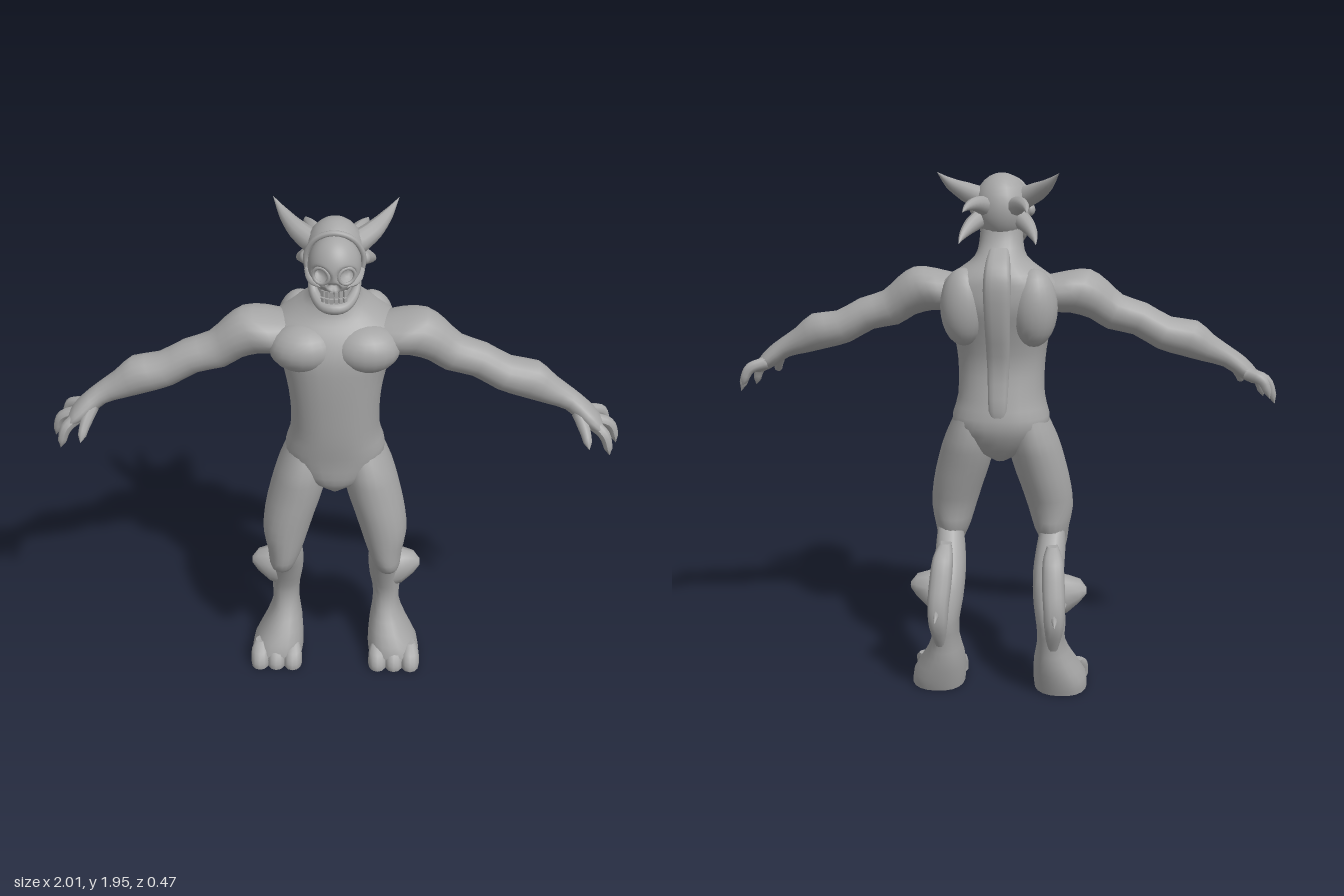
import * as THREE from 'three';

const V = (x, y, z) => new THREE.Vector3(x, y, z);
const skin = new THREE.MeshStandardMaterial({ color: 0xa6a6a6 });
skin.name = 'plain grey';

// Smooth body through elliptical sections [x, y, z, radiusU, radiusV], capped at both ends
function loft(sections, u, v, sub = 2, sides = 20, power = 1) {
  const pos = [], idx = [], rows = (sections.length - 1) * sub;
  const at = (t) => {
    const i = Math.min(Math.floor(t), sections.length - 2), f = t - i;
    const s = (k) => sections[Math.max(0, Math.min(sections.length - 1, k))];
    return sections[0].map((_, c) => {
      const [a, b, d, e] = [s(i - 1)[c], s(i)[c], s(i + 1)[c], s(i + 2)[c]];
      return b + 0.5 * f * (d - a + f * (2 * a - 5 * b + 4 * d - e + f * (3 * (b - d) + e - a)));
    });
  };
  const bend = (n) => Math.sign(n) * Math.abs(n) ** power;
  for (let r = 0; r <= rows; r++) {
    const [x, y, z, ru, rv] = at(r / sub);
    for (let j = 0; j < sides; j++) {
      const a = (j / sides) * Math.PI * 2;
      const p = V(x, y, z).addScaledVector(u, ru * bend(Math.cos(a))).addScaledVector(v, rv * bend(Math.sin(a)));
      pos.push(p.x, p.y, p.z);
    }
  }
  const first = sections[0], last = sections.at(-1);
  const along = V(last[0] - first[0], last[1] - first[1], last[2] - first[2]);
  const flip = u.clone().cross(v).dot(along) < 0;
  const tri = (a, b, c) => (flip ? idx.push(a, c, b) : idx.push(a, b, c));
  for (let r = 0; r < rows; r++) for (let j = 0; j < sides; j++) {
    const a = r * sides + j, b = r * sides + (j + 1) % sides;
    tri(a, b, a + sides);
    tri(b, b + sides, a + sides);
  }
  // Caps keep their own vertices so the ends stay crisp
  for (const [row, s] of [[0, first], [rows, last]]) {
    const base = pos.length / 3;
    pos.push(s[0], s[1], s[2]);
    for (let j = 0; j < sides; j++) pos.push(...pos.slice((row * sides + j) * 3, (row * sides + j) * 3 + 3));
    for (let j = 0; j < sides; j++) {
      const a = base + 1 + j, b = base + 1 + (j + 1) % sides;
      row ? tri(base, a, b) : tri(base, b, a);
    }
  }
  const g = new THREE.BufferGeometry();
  g.setAttribute('position', new THREE.Float32BufferAttribute(pos, 3));
  g.setIndex(idx);
  g.computeVertexNormals();
  return g;
}

// Curved tube whose radius follows a short list
function taper(points, radii, n = 10, sides = 10) {
  const curve = new THREE.CatmullRomCurve3(points.map((p) => V(...p)));
  const g = new THREE.TubeGeometry(curve, n, 1, sides), p = g.attributes.position, q = V();
  for (let i = 0; i <= n; i++) {
    const c = curve.getPointAt(i / n), t = (i / n) * (radii.length - 1);
    const k = Math.min(Math.floor(t), radii.length - 2);
    const r = THREE.MathUtils.lerp(radii[k], radii[k + 1], t - k);
    for (let j = 0; j <= sides; j++) {
      const m = i * (sides + 1) + j;
      q.fromBufferAttribute(p, m).sub(c).multiplyScalar(r).add(c);
      p.setXYZ(m, q.x, q.y, q.z);
    }
  }
  g.computeVertexNormals();
  return g;
}

const blob = (x, y, z, rx, ry, rz) => new THREE.SphereGeometry(1, 20, 14).scale(rx, ry, rz).translate(x, y, z);

export function createModel() {
  const model = new THREE.Group();
  const X = V(1, 0, 0), Z = V(0, 0, 1);
  const add = (name, g) => {
    const m = new THREE.Mesh(g, skin);
    m.name = name;
    model.add(m);
  };
  const pair = (name, g) => {
    add(name + 'Left', g);
    const r = g.clone().scale(-1, 1, 1), ix = r.index.array;
    for (let i = 0; i < ix.length; i += 3) [ix[i], ix[i + 1]] = [ix[i + 1], ix[i]];
    add(name + 'Right', r);
  };

  // Trunk from crotch to neck
  add('torso', loft([
    [0, 0.89, 0.05, 0.03, 0.08], [0, 0.94, 0.045, 0.12, 0.12], [0, 1.03, 0.03, 0.18, 0.145],
    [0, 1.13, 0.045, 0.16, 0.145], [0, 1.26, 0.06, 0.16, 0.14], [0, 1.38, 0.05, 0.18, 0.155],
    [0, 1.47, 0.035, 0.215, 0.165], [0, 1.54, 0.02, 0.22, 0.15], [0, 1.59, 0.005, 0.16, 0.125],
    [0, 1.64, 0.015, 0.095, 0.1], [0, 1.7, 0.04, 0.078, 0.08], [0, 1.78, 0.05, 0.075, 0.07],
  ], X, Z, 3, 28, 0.88));
  pair('chestMuscle', blob(0.105, 1.485, 0.12, 0.12, 0.085, 0.095));
  pair('shoulderBlade', blob(0.125, 1.47, -0.06, 0.085, 0.14, 0.08));

  // Raised band down the back
  add('spineBand', loft([
    [0, 1.68, -0.025, 0.035, 0.03], [0, 1.62, -0.1, 0.045, 0.03], [0, 1.54, -0.125, 0.05, 0.03],
    [0, 1.4, -0.108, 0.045, 0.03], [0, 1.25, -0.075, 0.04, 0.025], [0, 1.1, -0.09, 0.035, 0.025],
    [0, 1.02, -0.08, 0.02, 0.015],
  ], X, Z, 3, 14, 0.7));

  // Arms from shoulder to palm
  pair('arm', loft([
    [0.12, 1.52, 0.04, 0.05, 0.08], [0.21, 1.515, 0.045, 0.08, 0.11], [0.285, 1.515, 0.05, 0.086, 0.1],
    [0.35, 1.485, 0.055, 0.075, 0.085], [0.41, 1.44, 0.06, 0.068, 0.07], [0.5, 1.415, 0.065, 0.062, 0.068],
    [0.59, 1.365, 0.068, 0.063, 0.07], [0.68, 1.345, 0.075, 0.07, 0.07], [0.75, 1.308, 0.082, 0.052, 0.056],
    [0.82, 1.275, 0.092, 0.038, 0.046], [0.875, 1.235, 0.11, 0.036, 0.062], [0.92, 1.2, 0.12, 0.025, 0.065],
    [0.935, 1.185, 0.12, 0.01, 0.045],
  ], V(0.4, 0.917, 0), Z, 2, 18));
  const fingers = [
    [[0.89, 1.22, 0.07], [0.945, 1.2, 0.045], [0.975, 1.135, 0.035]],
    [[0.9, 1.21, 0.11], [0.965, 1.185, 0.105], [1.0, 1.1, 0.1]],
    [[0.9, 1.21, 0.15], [0.94, 1.18, 0.175], [0.965, 1.105, 0.19]],
    [[0.85, 1.24, 0.13], [0.872, 1.195, 0.18], [0.885, 1.15, 0.228]],
  ];
  fingers.forEach((f, i) => pair('finger' + (i + 1), taper(f, [0.024, 0.022, 0.021, 0.018, 0.015, 0], 10, 8)));

  // Thighs, ending in a bent knee
  pair('thigh', loft([
    [0.1, 1.06, 0.025, 0.07, 0.11], [0.118, 0.97, 0.04, 0.092, 0.132], [0.138, 0.88, 0.053, 0.1, 0.125],
    [0.165, 0.78, 0.068, 0.095, 0.115], [0.183, 0.69, 0.08, 0.085, 0.103], [0.188, 0.61, 0.08, 0.066, 0.1],
    [0.197, 0.55, 0.095, 0.05, 0.075], [0.2, 0.505, 0.085, 0.034, 0.04], [0.2, 0.493, 0.08, 0.01, 0.015],
  ], X, Z));

  // Lower legs running into broad feet
  pair('lowerLeg', loft([
    [0.195, 0.63, 0.05, 0.045, 0.05], [0.19, 0.54, 0.005, 0.055, 0.08], [0.185, 0.46, -0.045, 0.058, 0.09],
    [0.19, 0.37, -0.08, 0.058, 0.088], [0.2, 0.29, -0.1, 0.055, 0.085], [0.2, 0.21, -0.085, 0.052, 0.085],
    [0.21, 0.13, -0.055, 0.075, 0.11], [0.23, 0.05, -0.025, 0.1, 0.122], [0.235, 0, -0.02, 0.1, 0.11],
  ], X, Z, 2, 20, 0.88));
  for (const [i, x] of [0.17, 0.235, 0.3].entries()) {
    pair('toe' + (i + 1), loft([
      [x, 0.085, 0.03, 0.02, 0.02], [x, 0.06, 0.055, 0.034, 0.04], [x, 0.025, 0.075, 0.037, 0.045],
      [x, 0, 0.075, 0.036, 0.045],
    ], X, Z, 2, 12));
  }

  // Calf guard, heel spur and outer knob
  pair('calfGuard', loft([
    [0.2, 0.575, -0.055, 0.02, 0.025], [0.205, 0.53, -0.1, 0.038, 0.04], [0.21, 0.45, -0.14, 0.042, 0.042],
    [0.215, 0.37, -0.17, 0.04, 0.04], [0.215, 0.29, -0.175, 0.035, 0.035], [0.21, 0.2, -0.14, 0.02, 0.03],
  ], X, Z, 3, 14, 0.8));
  pair('heelSpur', taper([[0.215, 0.38, -0.15], [0.218, 0.345, -0.2], [0.22, 0.32, -0.238]], [0.045, 0.035, 0.012, 0], 6, 8));
  pair('outerKnob', loft([
    [0.2, 0.39, -0.07, 0.09, 0.07], [0.26, 0.395, -0.075, 0.075, 0.065], [0.305, 0.41, -0.075, 0.045, 0.045],
    [0.33, 0.41, -0.075, 0.012, 0.015],
  ], V(0, 1, 0), Z, 1, 10));

  // Cranium
  add('cranium', blob(0, 1.81, 0.055, 0.1, 0.122, 0.11));

  // Skull mask with sunken eyes and nose
  const mask = new THREE.SphereGeometry(1, 64, 48), p = mask.attributes.position;
  for (let i = 0; i < p.count; i++) {
    const low = THREE.MathUtils.smoothstep(-p.getY(i), 0.2, 0.85);
    let x = p.getX(i) * 0.088 * (1 - 0.25 * low);
    const y = p.getY(i) * 0.105, z0 = p.getZ(i);
    let z = z0 * 0.09;
    if (z0 > 0) {
      const pit = (cx, cy, r) => Math.exp(-((((Math.abs(x) - cx) ** 2 + (y - cy) ** 2) / (r * r)) ** 2));
      z -= 0.042 * pit(0.042, -0.005, 0.025) + 0.025 * pit(0.006, -0.042, 0.012);
    }
    p.setXYZ(i, x, y + 1.8, z + 0.132);
  }
  mask.computeVertexNormals();
  add('skullMask', mask);
  pair('eyeRim', new THREE.TorusGeometry(0.028, 0.006, 8, 20).rotateY(0.4).translate(0.042, 1.795, 0.202));
  pair('cheekbone', taper([[0.088, 1.785, 0.13], [0.074, 1.765, 0.175], [0.042, 1.756, 0.208]], [0.012, 0.014, 0.01, 0], 8, 8));
  add('maskRim', taper([
    [-0.09, 1.76, 0.11], [-0.094, 1.83, 0.115], [-0.06, 1.89, 0.125], [0, 1.912, 0.13],
    [0.06, 1.89, 0.125], [0.094, 1.83, 0.115], [0.09, 1.76, 0.11],
  ], [0.008, 0.01, 0.01, 0.008], 30, 8));

  // Jaw and teeth
  add('jaw', taper([
    [-0.08, 1.765, 0.11], [-0.068, 1.705, 0.14], [-0.035, 1.678, 0.19], [0, 1.676, 0.203],
    [0.035, 1.678, 0.19], [0.068, 1.705, 0.14], [0.08, 1.765, 0.11],
  ], [0.01, 0.018, 0.02, 0.018, 0.01], 26, 10));
  for (let i = 0; i < 6; i++) {
    const a = (i - 2.5) * 0.26, x = Math.sin(a) * 0.058, z = 0.145 + Math.cos(a) * 0.056;
    for (const [name, y] of [['upperTooth', 1.727], ['lowerTooth', 1.7]])
      add(name + (i + 1), new THREE.BoxGeometry(0.012, 0.022, 0.012).rotateY(a).translate(x, y, z));
  }

  // Horns and spikes around the head
  pair('mainHorn', taper([[0.07, 1.84, 0.05], [0.125, 1.868, 0.01], [0.17, 1.9, -0.04], [0.212, 1.945, -0.09]], [0.042, 0.034, 0.02, 0], 12, 12));
  pair('rearSpike', taper([[0.05, 1.82, -0.01], [0.08, 1.835, -0.08], [0.1, 1.832, -0.14], [0.11, 1.82, -0.205]], [0.036, 0.026, 0.014, 0]));
  pair('lowerSpike', taper([[0.065, 1.78, 0.01], [0.1, 1.755, -0.03], [0.125, 1.725, -0.08], [0.135, 1.7, -0.12]], [0.034, 0.028, 0.016, 0]));
  pair('earStud', blob(0.1, 1.8, 0.075, 0.018, 0.022, 0.022));
  return model;
}
